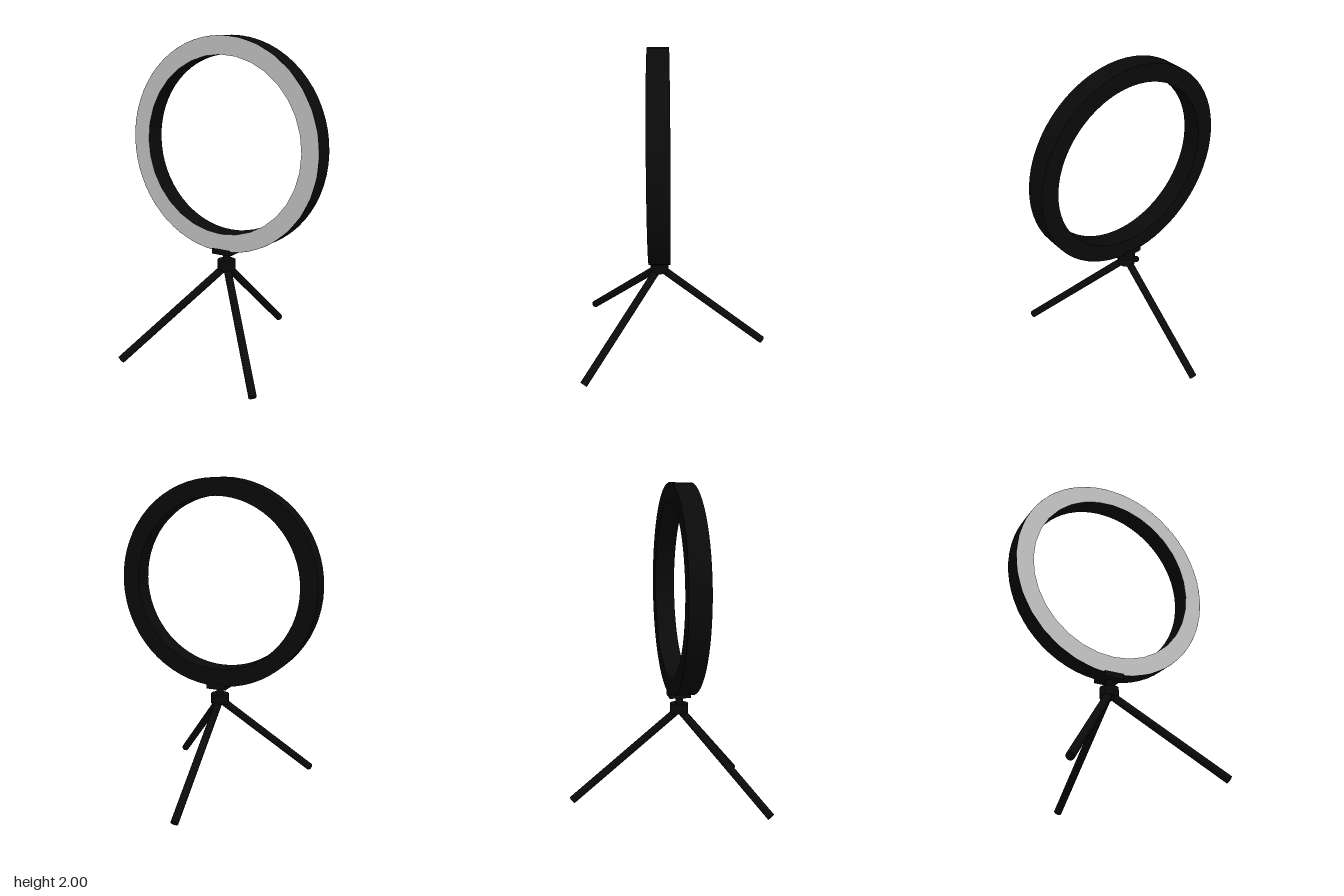
import * as THREE from 'three';

const RING_Y = 1.346, RING_Z = 0.097, DEPTH = 0.13, OUTER = 0.654, INNER = 0.543;

export function createModel() {
  const model = new THREE.Group();
  const black = new THREE.MeshStandardMaterial({ color: 0x0a0a0a });
  const grey = new THREE.MeshStandardMaterial({ color: 0xcccccc });

  const add = (name, geometry, material, x, y, z) => {
    const mesh = new THREE.Mesh(geometry, material);
    mesh.name = name;
    mesh.position.set(x, y, z);
    model.add(mesh);
    return mesh;
  };

  // Ring housing: a flat band with a round opening
  const band = new THREE.Shape().absarc(0, 0, OUTER, 0, Math.PI * 2, false);
  band.holes.push(new THREE.Path().absarc(0, 0, INNER, 0, Math.PI * 2, true));
  const housing = new THREE.ExtrudeGeometry(band, { depth: DEPTH, bevelEnabled: false, curveSegments: 32 });
  add('ringHousing', housing, black, 0, RING_Y, RING_Z - DEPTH / 2);

  // Light panel covering the front of the ring
  add('lightPanel', new THREE.RingGeometry(INNER, OUTER, 32), grey, 0, RING_Y, RING_Z + DEPTH / 2 + 0.001);

  // Mount under the ring: bracket, neck and tripod collar
  add('bracket', new THREE.BoxGeometry(0.13, 0.036, DEPTH + 0.006), black, 0, 0.688, RING_Z);
  add('neck', new THREE.CylinderGeometry(0.024, 0.024, 0.08, 16), black, 0, 0.645, 0.1);
  add('collar', new THREE.CylinderGeometry(0.058, 0.058, 0.062, 16), black, 0, 0.594, 0.1);

  // Tripod legs run from the collar to the floor
  const top = new THREE.Vector3(0, 0.588, 0.1);
  const feet = {
    leftLeg: new THREE.Vector3(0.477, 0.019, 0.575),
    rightLeg: new THREE.Vector3(-0.477, 0.019, 0.575),
    backLeg: new THREE.Vector3(0, 0.019, -0.587),
  };
  for (const [name, foot] of Object.entries(feet)) {
    const axis = top.clone().sub(foot);
    const middle = top.clone().add(foot).multiplyScalar(0.5);
    const leg = add(name, new THREE.CylinderGeometry(0.024, 0.024, axis.length(), 16), black, ...middle.toArray());
    leg.quaternion.setFromUnitVectors(new THREE.Vector3(0, 1, 0), axis.normalize());
  }

  return model;
}
